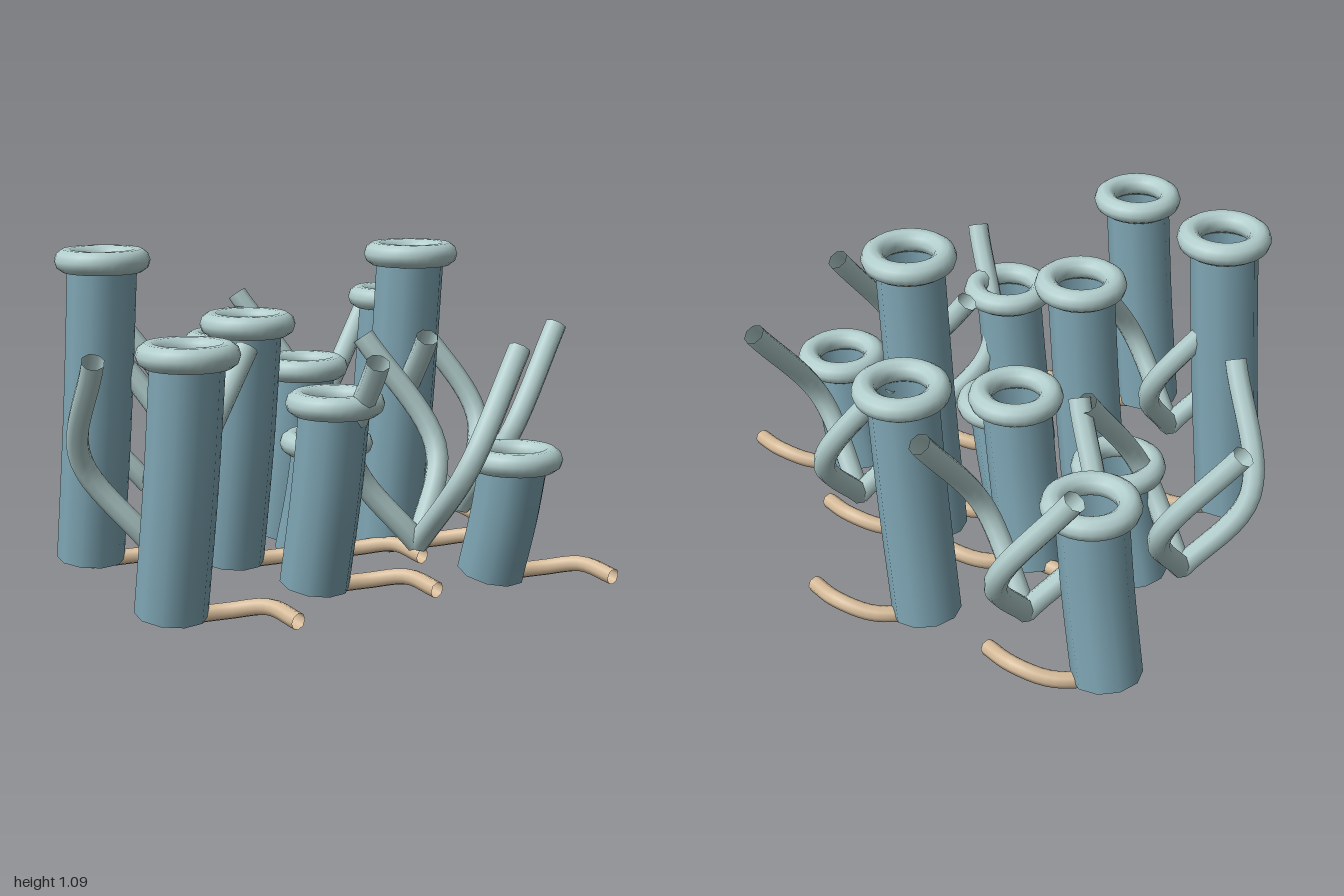
import * as THREE from 'three';

const mat = (name, color) => {
  const m = new THREE.MeshStandardMaterial({ color, side: THREE.DoubleSide });
  m.name = name;
  return m;
};

export function createModel() {
  const group = new THREE.Group();
  group.name = 'tubeColony';
  const tubeBlue = mat('tubeBlue', 0x7fa7b5);
  const paleAqua = mat('paleAqua', 0xb2cecd);
  const rootTan = mat('rootTan', 0xd8bd9b);

  const v = (x, y, z) => new THREE.Vector3(x, y, z);
  const sweep = (points, segments, radius, sides) =>
    new THREE.TubeGeometry(new THREE.CatmullRomCurve3(points), segments, radius, sides, false);
  const add = (parent, name, geometry, material) => {
    const mesh = new THREE.Mesh(geometry, material);
    mesh.name = name;
    parent.add(mesh);
    return mesh;
  };

  // Shared parts: rim ring and curling root
  const rimGeo = new THREE.TorusGeometry(0.117, 0.039, 10, 28).rotateX(Math.PI / 2);
  const rootGeo = sweep(
    [v(-0.09, 0.027, 0), v(0.0, 0.04, -0.15), v(0.11, 0.062, -0.22), v(0.24, 0.045, -0.22)],
    16, 0.027, 8);

  // Hollow leaning tubes: rim x, rim z, rim height
  const tubes = [
    [-0.11, -0.66, 0.845], [-0.72, -0.4, 0.64], [0.26, -0.37, 1.05], [0.75, -0.35, 0.43],
    [-0.1, -0.215, 0.64], [0.16, -0.08, 0.43], [-0.38, -0.01, 0.43], [0.065, 0.185, 0.845],
    [0.475, 0.185, 0.64], [-0.265, 0.52, 1.05], [0.43, 0.74, 0.845],
  ];
  for (const [x, z, h] of tubes) {
    const unit = new THREE.Group();
    unit.name = 'tubeUnit';
    unit.position.set(x, 0, z);
    const path = [v(-0.09, 0.04, 0), v(-0.038, 0.04 + (h - 0.04) * 0.5, 0), v(0, h, 0)];
    add(unit, 'tube', sweep(path, 14, 0.113, 10), tubeBlue);
    add(unit, 'rim', rimGeo, paleAqua).position.y = h;
    add(unit, 'root', rootGeo, rootTan);
    group.add(unit);
  }

  // Three-armed twisting branches
  const end = THREE.MathUtils.degToRad(50);
  const armGeo = sweep(
    [v(0, 0.165, 0), v(0.215, 0.44, 0.005), v(0.315 * Math.cos(end), 0.795, -0.315 * Math.sin(end))],
    20, 0.037, 8);
  const branches = [[-0.53, -0.505], [-0.66, 0.03], [0.325, -0.57], [0.585, -0.08], [-0.005, 0.545]];
  for (const [x, z] of branches) {
    const branch = new THREE.Group();
    branch.name = 'branch';
    branch.position.set(x, 0, z);
    for (let i = 0; i < 3; i++) add(branch, 'arm', armGeo, paleAqua).rotation.y = (i * Math.PI * 2) / 3;
    group.add(branch);
  }
  return group;
}
